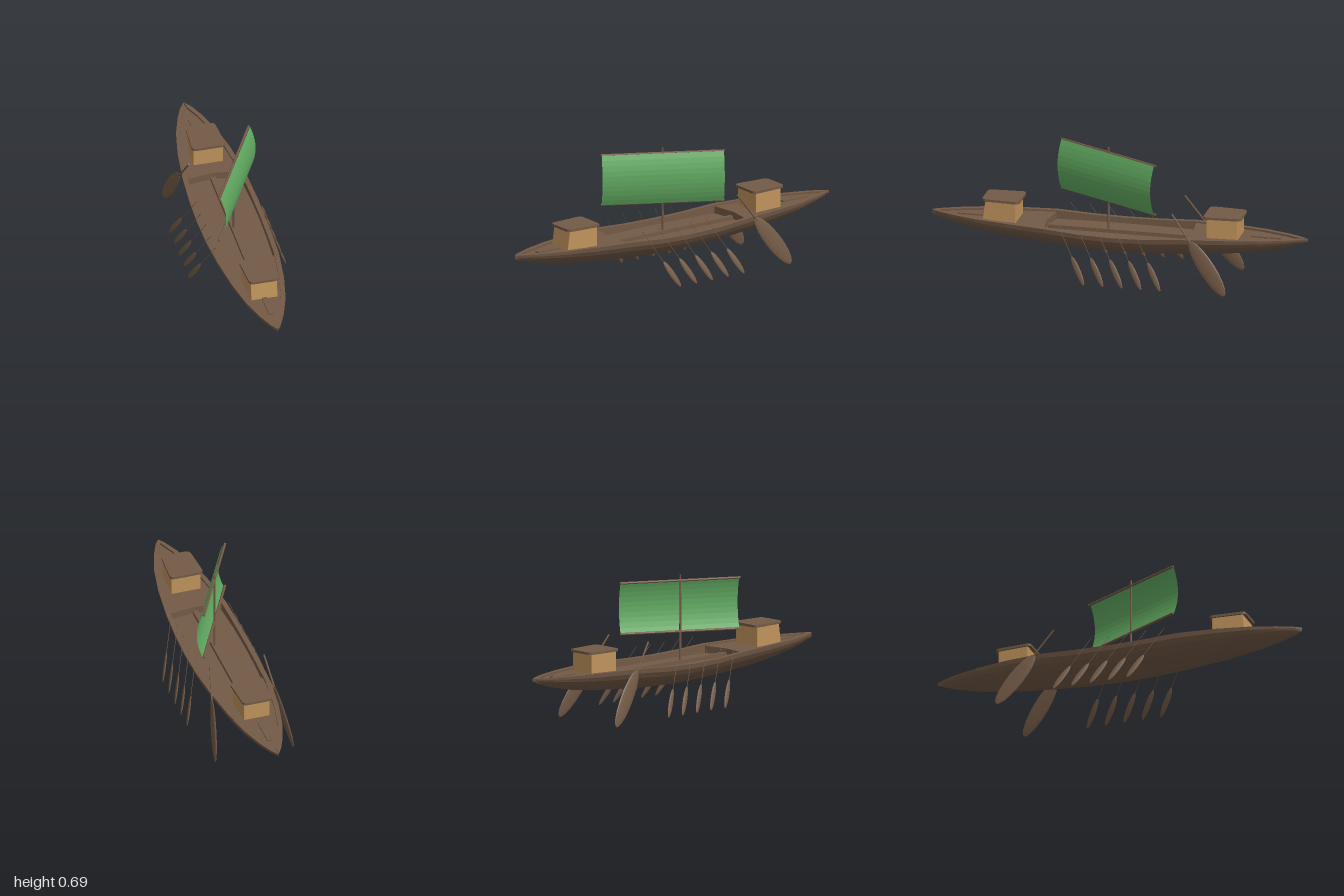
import * as THREE from 'three';

const YAW = 0.053;
const mat = (color, extra = {}) => new THREE.MeshStandardMaterial({ color, flatShading: true, ...extra });
const wood = mat(0x735a46);
const wall = mat(0xc0935c);
const cloth = mat(0x62ab62, { side: THREE.DoubleSide });

function add(parent, name, geometry, material, x = 0, y = 0, z = 0) {
  const mesh = new THREE.Mesh(geometry, material);
  mesh.name = name;
  mesh.position.set(x, y, z);
  parent.add(mesh);
  return mesh;
}

// Skin between rows of points
function loft(rows) {
  const n = rows[0].length, index = [];
  for (let i = 0; i < rows.length - 1; i++) {
    for (let j = 0; j < n - 1; j++) {
      const a = i * n + j, b = a + n;
      index.push(a, b, a + 1, b, b + 1, a + 1);
    }
  }
  const g = new THREE.BufferGeometry();
  g.setAttribute('position', new THREE.Float32BufferAttribute(rows.flat(2), 3));
  g.setIndex(index);
  g.computeVertexNormals();
  return g;
}

// Hull stations: z, half width, keel height
const STATIONS = [
  [-1, 0, 0.262], [-0.95, 0.032, 0.24], [-0.88, 0.062, 0.218], [-0.75, 0.104, 0.188], [-0.58, 0.138, 0.164],
  [-0.37, 0.164, 0.145], [-0.18, 0.174, 0.134], [0, 0.177, 0.13], [0.18, 0.174, 0.134], [0.37, 0.164, 0.145],
  [0.58, 0.138, 0.164], [0.75, 0.104, 0.188], [0.88, 0.062, 0.214], [0.97, 0.022, 0.24], [1, 0, 0.256],
];
// Hull side: fraction of half width, fraction of depth
const SIDE = [[1, 0], [0.97, 0.2], [0.87, 0.41], [0.67, 0.62], [0.4, 0.81], [0.12, 0.98], [0, 1]];
const RIM = 0.025, DECK = 0.264, FLOOR = 0.226, WELL = 0.37;
const sheer = z => 0.275 - 0.019 * Math.max(0, 1 - (z / 0.4) ** 2);
const inner = w => Math.max(w - RIM, 0);

function hullGeometry() {
  return loft(STATIONS.map(([z, w, keel]) => {
    const top = sheer(z);
    const half = SIDE.map(([fx, fy]) => [w * fx, top - (top - keel) * fy, z]);
    const port = [[inner(w), top, z], ...half];
    const mirrored = port.slice(0, -1).reverse().map(([x, y, pz]) => [-x, y, pz]);
    return [...port, ...mirrored];
  }));
}

// End decks and sunken well, with arrow-shaped steps between them
function deckGeometry() {
  const row = (z, w, y, bend) => {
    const x = inner(w), top = sheer(z);
    return [[-x, top, z], [-x, y, z], [0, y, z + bend], [x, y, z], [x, top, z]];
  };
  const rows = [];
  for (const [z, w] of STATIONS) {
    if (Math.abs(z) === WELL) {
      const bend = 0.02 * Math.sign(z);
      const pair = [row(z, w, DECK, bend), row(z, w, FLOOR, bend)];
      rows.push(...(z < 0 ? pair : pair.reverse()));
    } else rows.push(row(z, w, Math.abs(z) < WELL ? FLOOR : DECK, 0));
  }
  return loft(rows);
}

// Rounded trapezoid slab, narrower towards +z, hanging down from y = 0
function slab(back, front, depth, r, height) {
  const h = depth / 2;
  const corners = [[-back, -h], [back, -h], [front, h], [-front, h]].map(p => new THREE.Vector2(...p));
  const s = new THREE.Shape();
  corners.forEach((c, i) => {
    const from = corners[(i + 3) % 4].clone().sub(c).setLength(r).add(c);
    const to = corners[(i + 1) % 4].clone().sub(c).setLength(r).add(c);
    if (i) s.lineTo(from.x, from.y); else s.moveTo(from.x, from.y);
    s.quadraticCurveTo(c.x, c.y, to.x, to.y);
  });
  s.closePath();
  return new THREE.ExtrudeGeometry(s, { depth: height, bevelEnabled: false, curveSegments: 4 }).rotateX(Math.PI / 2);
}

function cabin(name, z, turn, lean) {
  const g = new THREE.Group();
  g.name = name;
  const body = slab(0.08, 0.07, 0.165, 0.003, 0.108);
  const p = body.attributes.position;
  for (let i = 0; i < p.count; i++) {
    if (p.getY(i) < -0.05 && p.getZ(i) > 0) p.setZ(i, p.getZ(i) + lean);
  }
  body.computeVertexNormals();
  add(g, 'cabinWalls', body, wall, 0, 0.368, 0);
  add(g, 'cabinRoof', slab(0.09, 0.078, 0.2, 0.025, 0.013), wood, 0, 0.38, 0);
  g.position.z = z;
  g.rotation.y = turn;
  return g;
}

// Oar from its handle end to its blade tip; the blade is thin sideways
function oar(name, top, tip, shaftR, length, width, thick) {
  const a = new THREE.Vector3(...top), b = new THREE.Vector3(...tip);
  const total = a.distanceTo(b);
  const up = a.clone().sub(b).normalize();
  const side = new THREE.Vector3(1, 0, 0).addScaledVector(up, -up.x).normalize();
  const g = new THREE.Group();
  g.name = name;
  const shaft = total - length * 0.7;
  add(g, 'oarShaft', new THREE.CylinderGeometry(shaftR, shaftR, shaft, 6), wood, 0, total - shaft / 2, 0);
  const blade = new THREE.SphereGeometry(0.5, 12, 10).scale(thick, length, width);
  add(g, 'oarBlade', blade, wood, 0, length / 2, 0);
  g.quaternion.setFromRotationMatrix(new THREE.Matrix4().makeBasis(side, up, side.clone().cross(up)));
  g.position.copy(b);
  return g;
}

export function createModel() {
  const model = new THREE.Group();
  model.name = 'sailingBarge';
  const boat = new THREE.Group();
  boat.name = 'boat';
  boat.rotation.y = YAW;
  model.add(boat);

  add(boat, 'hull', hullGeometry(), wood);
  add(boat, 'deck', deckGeometry(), wood);

  // Centre planks in the well and on the end decks
  add(boat, 'centrePlank', new THREE.BoxGeometry(0.026, 0.02, 0.76), wood, 0, FLOOR + 0.01, 0);
  for (const s of [-1, 1]) {
    add(boat, 'endPlank', new THREE.BoxGeometry(0.026, 0.008, 0.16), wood, 0, DECK + 0.003, s * 0.78);
  }

  boat.add(cabin('foreCabin', 0.617, 0, 0.016), cabin('aftCabin', -0.56, Math.PI, 0));

  // Steering oars and rowing oars on both sides
  for (const s of [-1, 1]) {
    boat.add(oar('steeringOar', [s * 0.147, 0.405, -0.31], [s * 0.213, 0, -0.605], 0.005, 0.335, 0.09, 0.018));
    for (let i = 0; i < 5; i++) {
      const z = 0.13 - i * 0.101;
      boat.add(oar('rowingOar', [s * 0.156, 0.317, z + 0.17], [s * 0.26, 0.015, z], 0.0014, 0.165, 0.032, 0.011));
    }
  }

  // Mast, yards and billowing sail, braced at an angle
  const rig = new THREE.Group();
  rig.name = 'rig';
  rig.position.set(0.004, 0, 0.06);
  rig.rotation.y = 1.137;
  model.add(rig);
  add(rig, 'mast', new THREE.CylinderGeometry(0.005, 0.006, 0.47, 8), wood, 0, 0.456, 0);
  for (const y of [0.395, 0.662]) {
    add(rig, 'yard', new THREE.CylinderGeometry(0.0065, 0.0065, 0.646, 8).rotateZ(Math.PI / 2), wood, 0, y, 0);
  }
  const sail = new THREE.PlaneGeometry(0.638, 0.267, 1, 10);
  const p = sail.attributes.position;
  for (let i = 0; i < p.count; i++) {
    const t = p.getY(i) / 0.1335;
    p.setZ(i, 0.008 + 0.03 * (1 - t * t));
  }
  sail.computeVertexNormals();
  add(rig, 'sail', sail, cloth, 0, 0.5285, 0);
  return model;
}
